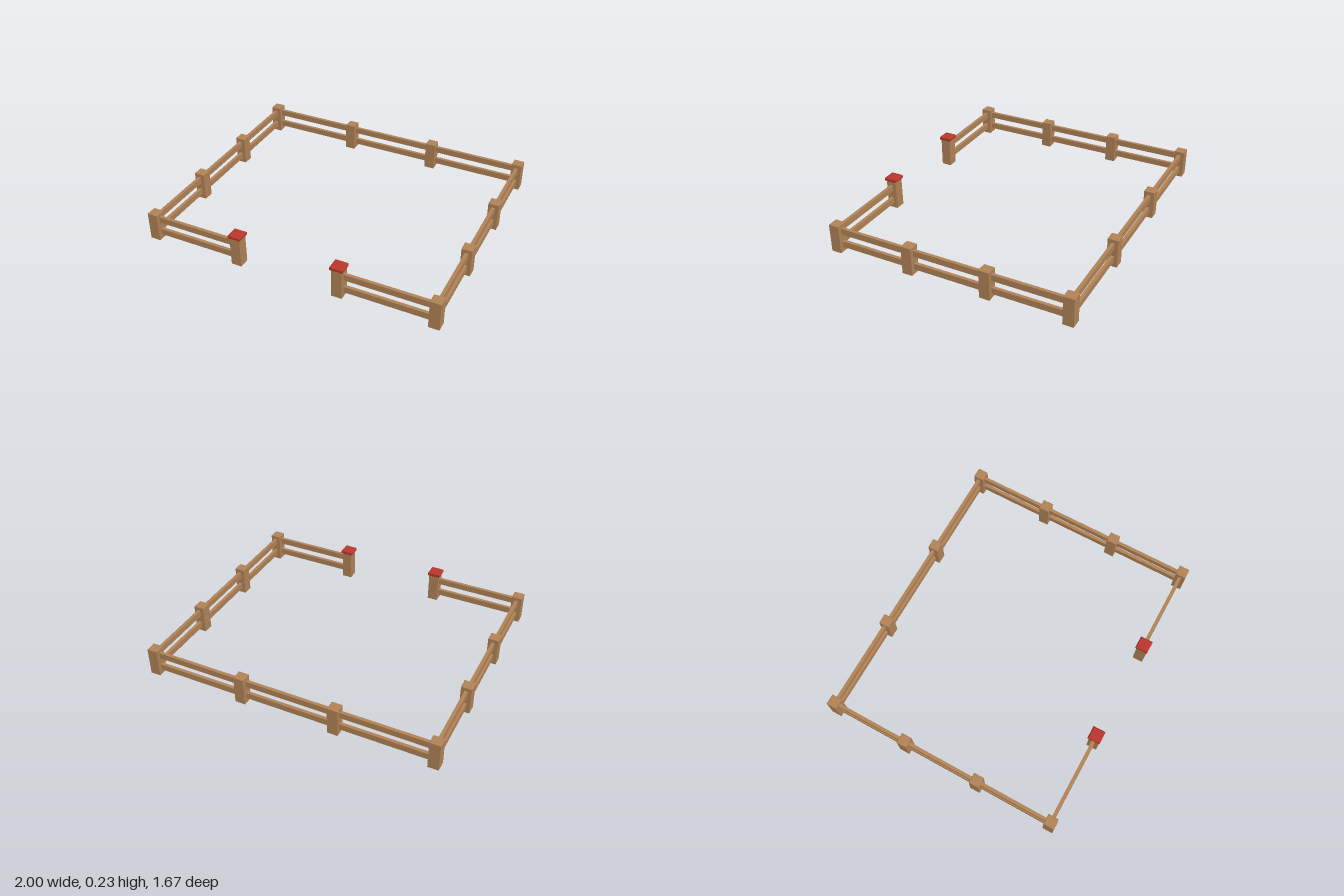
import * as THREE from 'three';

const POST = 0.07, POST_H = 0.197;
const X = 0.965, BACK = -0.8, FRONT = 0.793, GATE = 0.348;

// Square block with chamfered top and bottom edges, base at y = 0
function chamferedBlock(width, height, bevel) {
  const k = Math.SQRT1_2 * width, b = bevel * Math.SQRT2;
  const profile = [[0, 0], [k - b, 0], [k, bevel], [k, height - bevel], [k - b, height], [0, height]]
    .map(([r, y]) => new THREE.Vector2(r, y));
  const geometry = new THREE.LatheGeometry(profile, 4, Math.PI / 4).toNonIndexed();
  geometry.computeVertexNormals();
  return geometry;
}

export function createModel() {
  const wood = new THREE.MeshStandardMaterial({ color: 0xb28458 });
  wood.name = 'wood';
  const red = new THREE.MeshStandardMaterial({ color: 0xbb382c });
  red.name = 'red paint';

  const fence = new THREE.Group();
  fence.name = 'fence';
  const postGeometry = chamferedBlock(POST, POST_H, 0.003);
  const capGeometry = chamferedBlock(0.086, 0.031, 0.007);

  function add(name, geometry, material, x, y, z) {
    const mesh = new THREE.Mesh(geometry, material);
    mesh.name = name;
    mesh.position.set(x, y, z);
    fence.add(mesh);
  }
  const post = (name, x, z) => add(name, postGeometry, wood, x, 0, z);

  // Pair of horizontal rails spanning two points on one axis
  function rails(name, x0, z0, x1, z1) {
    const geometry = new THREE.BoxGeometry(
      Math.abs(x1 - x0) || 0.022, 0.042, Math.abs(z1 - z0) || 0.022);
    for (const [level, y] of [['Lower', 0.058], ['Upper', 0.15]])
      add(name + level + 'Rail', geometry, wood, (x0 + x1) / 2, y, (z0 + z1) / 2);
  }

  rails('back', -X, BACK, X, BACK);
  for (const [side, s] of [['left', 1], ['right', -1]]) {
    // Side run with evenly spaced posts, corners included
    for (let i = 0; i < 4; i++)
      post(side + 'Post', s * X, BACK + (FRONT - BACK) * i / 3);
    rails(side, s * X, BACK, s * X, FRONT);

    // Intermediate back post
    post(side + 'BackPost', s * X / 3, BACK);

    // Short front run ending in a capped gate post
    rails(side + 'Front', s * X, FRONT, s * GATE, FRONT);
    post(side + 'GatePost', s * GATE, FRONT);
    add(side + 'GateCap', capGeometry, red, s * GATE, POST_H, FRONT);
  }
  return fence;
}
